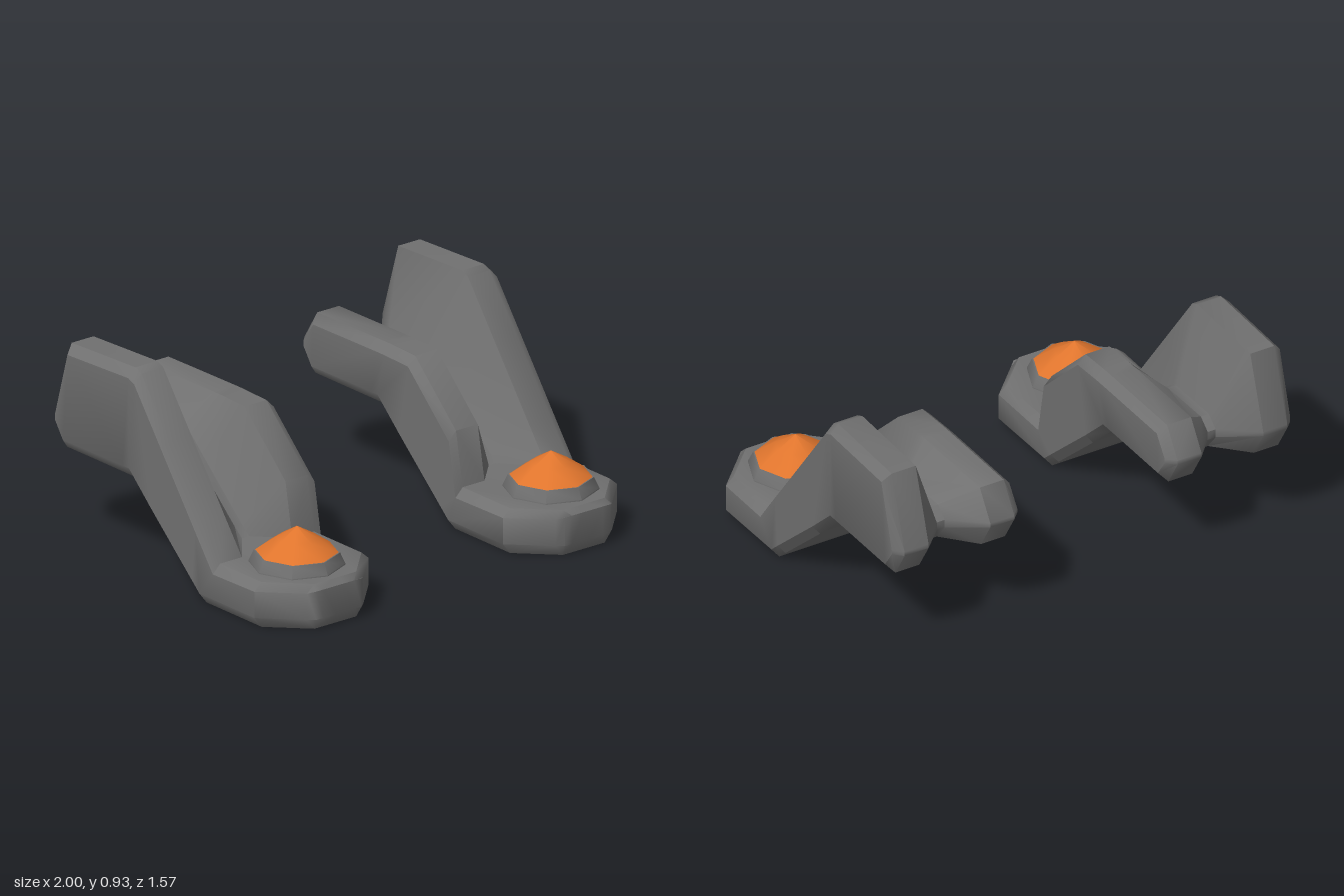
import * as THREE from 'three';
import { toCreasedNormals } from 'three/addons/utils/BufferGeometryUtils.js';

const steel = new THREE.MeshStandardMaterial({ color: 0x707070 });
steel.name = 'dark grey';
const orange = new THREE.MeshStandardMaterial({ color: 0xe0752d });
orange.name = 'orange';

// Stations from front to back. Each rail is [z, y]:
// o = outer wall top, f = channel floor, i = inner wall top, b = underside, m = underside middle.
// ct / cb = edge chamfer heights, lo / hi = width limits, inset = z shift of the side edges.
const flat = (z, top, bottom, lo, hi, ct, cb) => ({
  o: [z, top], f: [z, top], i: [z, top], b: [z, bottom], m: [z, bottom], lo, hi, ct, cb });
const cut = (o, f, i, b, m = b, ct = 0.04, cb = 0.05, inset = 0) => ({
  o, f, i, b, m, lo: 0.37, hi: 1, ct, cb, inset });
const stations = [
  flat(0.785, 0.18, 0.05, 0.56, 0.81, 0, 0),
  flat(0.76, 0.205, 0, 0.53, 0.84, 0.035, 0.05),
  flat(0.6, 0.205, 0, 0.37, 1, 0.035, 0.05),
  cut([0.32, 0.205], [0.15, 0.205], [0.28, 0.205], [0.23, 0]),
  cut([0.2, 0.365], [0.1, 0.245], [0.235, 0.45], [0.18, 0.045]),
  cut([-0.02, 0.66], [-0.15, 0.47], [-0.04, 0.71], [-0.1, 0.295]),
  cut([-0.21, 0.915], [-0.28, 0.59], [-0.2, 0.715], [-0.245, 0.43]),
  cut([-0.25, 0.932], [-0.31, 0.598], [-0.25, 0.715], [-0.29, 0.43]),
  cut([-0.68, 0.915], [-0.57, 0.598], [-0.7, 0.71], [-0.71, 0.43], [-0.56, 0.43], 0.04, 0.045, 0.02),
  cut([-0.785, 0.575], [-0.625, 0.55], [-0.785, 0.575], [-0.785, 0.555], [-0.625, 0.51], 0, 0, 0.04),
];

// Closed cross-section: eight points over the top, then eight back along the underside.
function section(s) {
  const { lo, hi, inset = 0 } = s;
  const clamp = (x) => Math.min(hi - 0.04, Math.max(lo + 0.04, x));
  const xs = [hi, hi - 0.04, clamp(0.84), clamp(0.7), clamp(0.66), clamp(0.53), lo + 0.04, lo];
  const top = [s.o, s.o, s.o, s.f, s.f, s.i, s.i, s.i];
  const bottom = [s.b, s.b, s.b, s.m, s.m, s.b, s.b, s.b];
  const side = (j) => (j === 0 || j === 7 ? 1 : 0);
  const upper = xs.map((x, j) => [x, top[j][1] - side(j) * s.ct, top[j][0] + side(j) * inset]);
  const lower = xs.map((x, j) => [x, bottom[j][1] + side(j) * s.cb, bottom[j][0] + side(j) * inset]);
  return [...upper, ...lower.reverse()];
}

// Lofted bracket body; sign mirrors it across x.
function bracketGeometry(sign) {
  const n = 16, last = (stations.length - 1) * n;
  const positions = stations.flatMap(section).flatMap(([x, y, z]) => [x * sign, y, z]);
  const index = [];
  const tri = (a, b, c) => (sign > 0 ? index.push(a, b, c) : index.push(a, c, b));
  const quad = (a, b, c, d) => { tri(a, b, c); tri(a, c, d); };
  for (let s = 0; s < last; s += n) {
    for (let k = 0; k < n; k++) {
      const j = (k + 1) % n;
      quad(s + k, s + n + k, s + n + j, s + j);
    }
  }
  // End caps
  for (let j = 0; j < 7; j++) {
    quad(j, j + 1, 14 - j, 15 - j);
    quad(last + j, last + 15 - j, last + 14 - j, last + j + 1);
  }
  const g = new THREE.BufferGeometry();
  g.setAttribute('position', new THREE.Float32BufferAttribute(positions, 3));
  g.setIndex(index);
  return toCreasedNormals(g.toNonIndexed(), 0.75);
}

function lathe(points, crease) {
  const g = new THREE.LatheGeometry(points.map(([r, y]) => new THREE.Vector2(r, y)), 8);
  return crease ? toCreasedNormals(g, crease) : g;
}

function part(name, geometry, material, parent) {
  const mesh = new THREE.Mesh(geometry, material);
  mesh.name = name;
  parent.add(mesh);
  return mesh;
}

export function createModel() {
  const model = new THREE.Group();
  model.name = 'bracketPair';
  for (const sign of [1, -1]) {
    const side = new THREE.Group();
    side.name = sign > 0 ? 'leftBracket' : 'rightBracket';
    part('channelBody', bracketGeometry(sign), steel, side);
    // Octagonal button on the toe
    const button = new THREE.Group();
    button.name = 'button';
    button.position.set(0.7 * sign, 0, 0.52);
    part('buttonCollar', lathe([[0.208, 0.19], [0.208, 0.21], [0.185, 0.26], [0, 0.26]], 0.8), steel, button);
    part('buttonDome', lathe([[0.182, 0.258], [0.09, 0.322], [0.0001, 0.375]]), orange, button);
    side.add(button);
    model.add(side);
  }
  return model;
}
